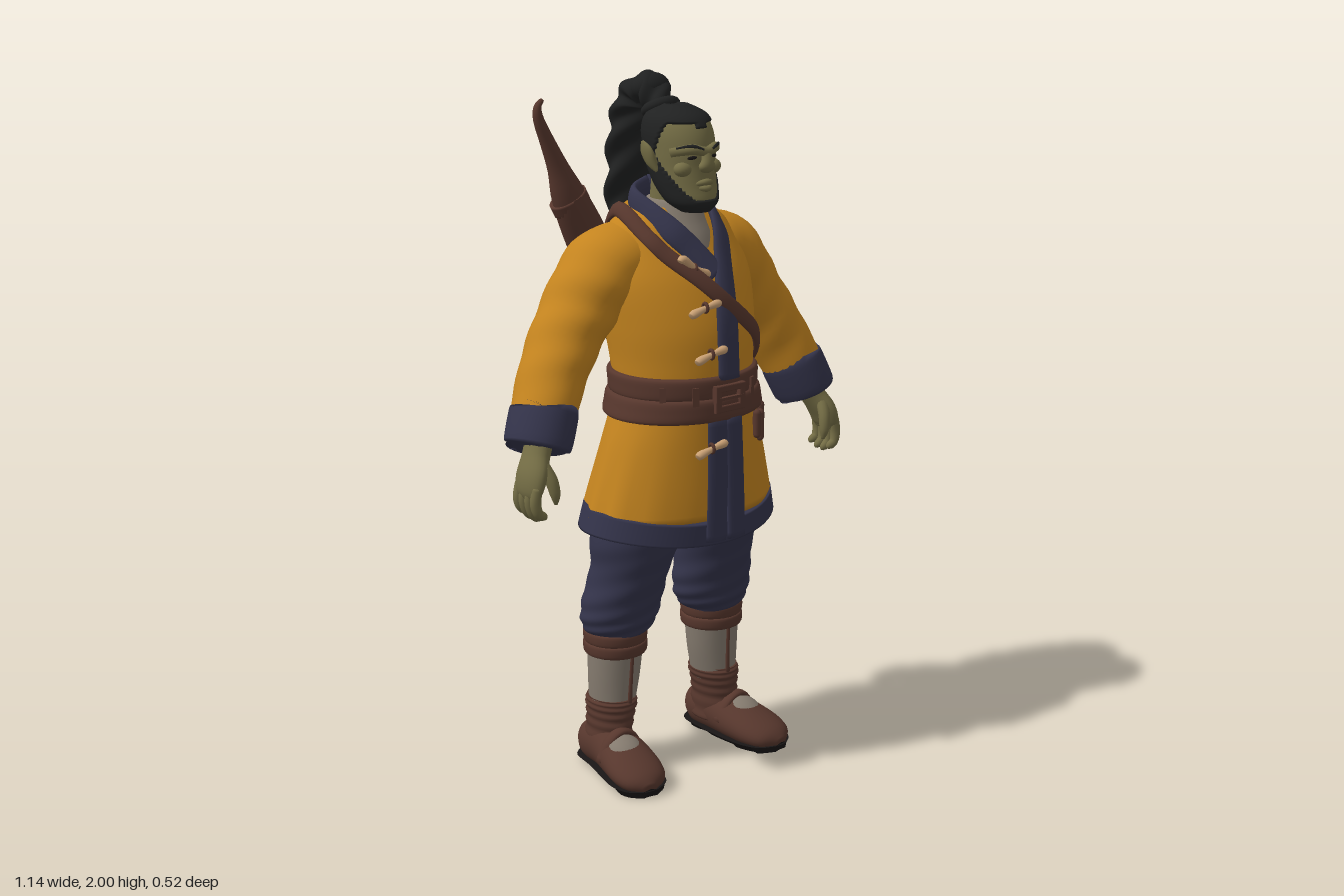
import * as THREE from 'three';

const V = (x, y, z) => new THREE.Vector3(x, y, z);
const X = V(1, 0, 0), Z = V(0, 0, 1);
const mat = (name, color) => Object.assign(new THREE.MeshStandardMaterial({ color }), { name });

// Catmull-Rom smoothing of rows of numbers
function smooth(rows, sub) {
  const out = [], g = i => rows[Math.min(rows.length - 1, Math.max(0, i))];
  for (let i = 0; i < rows.length - 1; i++) for (let k = 0; k < sub; k++) {
    const t = k / sub;
    out.push(rows[i].map((p, c) => {
      const a = g(i - 1)[c], d = g(i + 2)[c], q = g(i + 1)[c];
      return p + 0.5 * t * (q - a + t * (2 * a - 5 * p + 4 * q - d + t * (3 * (p - q) + d - a)));
    }));
  }
  out.push(rows[rows.length - 1]);
  return out;
}

// Skin over rows [x, y, z, a, b]; a runs along ref, b across it. Flat rows lie level, bottom to top.
function loft(name, material, rows, { flat = false, ref = X, n = 24, sub = 4, fn } = {}) {
  const r = smooth(rows, sub), m = r.length, pos = [], idx = [];
  const P = i => V(...r[Math.min(m - 1, Math.max(0, i))]);
  for (let i = 0; i < m; i++) {
    const c = P(i), T = flat ? V(0, 1, 0) : P(i + 1).sub(P(i - 1)).normalize();
    const R = typeof ref === 'function' ? ref(c) : ref;
    const B = R.clone().cross(T).normalize(), A = T.clone().cross(B);
    for (let j = 0; j < n; j++) {
      const t = j / n * Math.PI * 2;
      const p = c.clone().addScaledVector(A, Math.max(0.001, r[i][3]) * Math.cos(t))
        .addScaledVector(B, Math.max(0.001, r[i][4]) * Math.sin(t));
      if (fn) fn(p, t, i / (m - 1), c);
      pos.push(p.x, p.y, p.z);
      if (i < m - 1) {
        const a = i * n + j, b = i * n + (j + 1) % n;
        idx.push(a, a + n, b, b, a + n, b + n);
      }
    }
  }
  pos.push(...P(0).toArray(), ...P(m - 1).toArray());
  for (let j = 0; j < n; j++) {
    const k = (j + 1) % n, e = (m - 1) * n;
    idx.push(m * n, j, k, m * n + 1, e + k, e + j);
  }
  const geo = new THREE.BufferGeometry();
  geo.setAttribute('position', new THREE.Float32BufferAttribute(pos, 3));
  geo.setIndex(idx);
  geo.computeVertexNormals();
  const mesh = new THREE.Mesh(geo, material);
  mesh.name = name;
  return mesh;
}

// Coat body: level rows [x, y, z, half width, half depth]
const BODY = smooth([
  [0, .75, .022, .31, .213], [0, .85, .03, .285, .205], [0, 1, .042, .245, .188], [0, 1.13, .047, .207, .18],
  [0, 1.22, .042, .21, .187], [0, 1.33, .03, .225, .19], [0, 1.45, .01, .235, .168], [0, 1.54, -.012, .215, .137],
  [0, 1.6, -.025, .18, .115], [0, 1.645, -.035, .12, .095]], 6);
function at(y) {
  let i = 0;
  while (i < BODY.length - 2 && BODY[i + 1][1] < y) i++;
  const p = BODY[i], q = BODY[i + 1], t = THREE.MathUtils.clamp((y - p[1]) / (q[1] - p[1]), 0, 1);
  return p.map((v, k) => v + (q[k] - v) * t);
}
// Point on the coat's front (s = 1) or back (s = -1)
function S(x, y, s = 1, off = .008) {
  const r = at(y);
  return [x, y, r[2] + s * (r[4] * Math.sqrt(Math.max(0, 1 - (x / r[3]) ** 2)) + off)];
}
const outward = up => c => {
  const r = at(c.y);
  return V(c.x / r[3] ** 2, up * Math.max(0, c.y - 1.5), (c.z - r[2]) / r[4] ** 2).normalize();
};

export function createModel() {
  const root = new THREE.Group();
  root.name = 'warrior';
  const orange = mat('ochre cloth', 0xc4841f), navy = mat('navy cloth', 0x34344b), skin = mat('olive skin', 0x746d45),
    leather = mat('brown leather', 0x57372d), hair = mat('black hair', 0x202121), wrap = mat('grey linen', 0x857b6f),
    bone = mat('bone', 0xc9a074), sole = mat('dark sole', 0x191616);
  const add = (...a) => { const m = loft(...a); root.add(m); return m; };
  const prim = (name, geo, m, p, rot = [0, 0, 0], sc = [1, 1, 1]) => {
    const o = new THREE.Mesh(geo, m);
    o.name = name; o.position.set(...p); o.rotation.set(...rot); o.scale.set(...sc);
    root.add(o);
  };
  const ball = new THREE.SphereGeometry(1, 20, 14);

  // Coat with gentle skirt folds and a hem dipping at the front
  add('coat', orange, BODY.filter(r => r[1] >= .78), { flat: true, n: 56, sub: 1, fn: (p, t, s, c) => {
    const k = Math.max(0, 1.05 - p.y) * .08 * Math.sin(14 * t) * (1 - Math.max(0, Math.sin(t)));
    p.x += (p.x - c.x) * k; p.z += (p.z - c.z) * k;
  } });
  add('hem', navy, [.75, .78, .815].map(y => { const r = at(y); return [0, y, r[2], r[3] + .006, r[4] + .006]; }),
    { flat: true, n: 56, fn: (p, t) => { p.y -= .032 * Math.max(0, Math.sin(t)) ** 2; } });

  // Undershirt, neck, collar and front bands
  add('undershirt', wrap, [[0, 1.5, .01, .09, .13], [0, 1.56, 0, .11, .122], [0, 1.61, -.002, .095, .098], [0, 1.665, 0, .07, .07]], { flat: true });
  add('neck', skin, [[0, 1.6, 0, .066, .07], [0, 1.76, .02, .066, .068]], { flat: true });
  const band = (name, m, pts, a, b, up = 0) => add(name, m, pts.map(p => [...p, a, b]), { ref: outward(up), sub: 6, n: 16 });
  band('rightLapel', navy, [S(.01, 1.47), S(-.04, 1.54), S(-.08, 1.59), [-.107, 1.635, .02], [-.098, 1.665, -.05], [0, 1.675, -.112]], .014, .034);
  band('leftLapel', navy, [[0, 1.675, -.112], [.098, 1.665, -.05], [.107, 1.635, .02], S(.085, 1.58, 1, .012), S(.055, 1.51, 1, .012),
    S(.025, 1.43, 1, .012), S(.01, 1.34), S(.008, 1.19)], .014, .037);
  band('rightSkirtBand', navy, [S(-.03, 1.08), S(-.034, .9), S(-.04, .73)], .01, .034);
  band('leftSkirtBand', navy, [S(.024, 1.08), S(.028, .9), S(.034, .73)], .013, .033);

  // Bone toggles
  for (const [y, tilt] of [[1.495, -.03], [1.395, .012], [1.27, .012], [1.005, .012]]) {
    const p = S(-.06, y, 1, .022), z = p[2];
    add('toggle', bone, [[-.112, y - tilt - .006, z, .009, .009], [-.1, y - tilt, z, .013, .012], [-.06, y, z + .004, .007, .008],
      [-.022, y + tilt * .6, z + .003, .012, .012], [-.01, y + tilt * .6, z, .006, .006]], { ref: Z, n: 12 });
    prim('toggleCord', new THREE.TorusGeometry(.012, .005, 8, 14), leather, [-.062, y, z], [0, 1.4, 0]);
  }

  // Doubled belt and buckle
  const ring = (name, y0, y1, o) => add(name, leather, [[y0, 0], [y0 + .006, o], [(y0 + y1) / 2, o + .003], [y1 - .006, o], [y1, 0]]
    .map(([y, k]) => { const r = at(y); return [0, y, r[2], r[3] + k, r[4] + k]; }), { flat: true, n: 48 });
  ring('upperBelt', 1.135, 1.2, .013);
  ring('lowerBelt', 1.072, 1.142, .019);
  const frame = new THREE.Shape([[-.05, -.035], [.05, -.035], [.05, .035], [-.05, .035]].map(p => new THREE.Vector2(...p)));
  frame.holes.push(new THREE.Path([[-.036, -.022], [-.036, .022], [.036, .022], [.036, -.022]].map(p => new THREE.Vector2(...p))));
  prim('buckle', new THREE.ExtrudeGeometry(frame, { depth: .014, bevelSize: .003, bevelThickness: .003, bevelSegments: 2 }), leather, [0, 1.14, .238]);
  prim('bucklePin', new THREE.BoxGeometry(.09, .008, .012), leather, [0, 1.14, .25]);
  for (const x of [-.17, -.1, .1]) prim('beltLoop', new THREE.BoxGeometry(.018, .085, .014), leather, S(x, 1.135, 1, .016), [0, x * 4, 0]);

  // Items hanging from the belt on the left side
  for (const [x, y, l] of [[.14, 1.03, .06], [.165, 1.02, .07], [.2, 1.04, .05]])
    prim('beltTool', new THREE.CapsuleGeometry(.012, l, 4, 10), leather, S(x, y, 1, .012));
  prim('pouch', ball, leather, [.235, 1.06, -.055], [0, 0, .1], [.026, .055, .04]);
  prim('pouch', ball, leather, [.19, 1.06, -.12], [0, .6, 0], [.04, .045, .025]);
  prim('strapRing', new THREE.TorusGeometry(.03, .009, 8, 20), leather, [.242, 1.11, .02], [0, 1.4, 0]);
  prim('strapRing', new THREE.TorusGeometry(.03, .009, 8, 20), leather, [.165, 1.12, -.15], [0, -.5, 0]);

  // Shoulder strap
  band('strap', leather, [S(-.05, 1.42, -1), S(-.12, 1.54, -1), [-.155, 1.64, -.05], S(-.15, 1.58, 1, .016), S(-.12, 1.53, 1, .018),
    S(-.06, 1.47, 1, .022), S(0, 1.41, 1, .024), S(.07, 1.35, 1, .018), S(.13, 1.3, 1, .014), S(.185, 1.24, 1, .012), [.225, 1.18, .06],
    [.222, 1.13, -.02], S(.15, 1.1, -1, .014), S(.08, 1.12, -1, .018)], .011, .022, 40);

  // Horn-tipped case slung across the back
  const CASE = [[.128, .975, -.2, .02, .03], [.12, .995, -.2, .042, .066], [.06, 1.12, -.2, .046, .075], [-.05, 1.35, -.2, .046, .072],
    [-.15, 1.54, -.197, .045, .066], [-.213, 1.66, -.192, .04, .052], [-.25, 1.745, -.19, .026, .032], [-.285, 1.82, -.19, .018, .022],
    [-.312, 1.88, -.19, .014, .016], [-.316, 1.915, -.19, .011, .011], [-.3, 1.935, -.19, .006, .006]];
  add('backCase', leather, CASE, { ref: Z });
  for (const [x, y, a, b] of [[.108, 1.02, .05, .076], [.03, 1.18, .051, .08], [-.12, 1.48, .05, .074], [-.205, 1.645, .046, .059]])
    add('caseBand', leather, [[x + .008, y - .015, -.198, a, b], [x - .008, y + .015, -.198, a, b]], { ref: Z });
  for (const [x, y] of [[.08, 1.03], [.13, 1.05], [-.07, 1.42]]) prim('caseStud', ball, leather, [x, y, -.245], [0, 0, 0], [.012, .012, .008]);

  // Head and face
  const HEAD = [[0, 1.645, .1, .04, .04], [0, 1.67, .085, .07, .068], [0, 1.71, .06, .083, .085], [0, 1.76, .04, .088, .1],
    [0, 1.8, .034, .09, .107], [0, 1.85, .025, .09, .106], [0, 1.89, .02, .075, .086], [0, 1.915, .02, .03, .035]];
  add('head', skin, HEAD, { flat: true, n: 40 });
  add('brow', skin, [[-.075, 1.8, .085, .01, .014], [-.04, 1.812, .132, .014, .014], [0, 1.804, .143, .013, .013],
    [.04, 1.812, .132, .014, .014], [.075, 1.8, .085, .01, .014]], { ref: Z });
  add('nose', skin, [[0, 1.815, .138, .012, .01], [0, 1.785, .148, .016, .014], [0, 1.765, .148, .026, .017], [0, 1.752, .142, .018, .01]]);
  add('upperLip', skin, [[-.035, 1.715, .126, .006, .006], [0, 1.722, .146, .01, .009], [.035, 1.715, .126, .006, .006]], { ref: Z });
  add('lowerLip', skin, [[-.03, 1.706, .126, .006, .006], [0, 1.704, .145, .011, .009], [.03, 1.706, .126, .006, .006]], { ref: Z });
  for (const s of [-1, 1]) {
    prim('eye', ball, sole, [s * .038, 1.789, .131], [0, s * .4, s * -.1], [.014, .005, .004]);
    prim('cheek', ball, skin, [s * .05, 1.757, .107], [0, 0, 0], [.028, .022, .025]);
    add('eyebrow', hair, [[s * .015, 1.811, .152, .004, .004], [s * .045, 1.822, .141, .004, .005], [s * .072, 1.814, .105, .003, .003]], { ref: Z, n: 10 });
    add('ear', skin, [[s * .085, 1.75, .045, .01, .008], [s * .098, 1.775, .03, .012, .02], [s * .108, 1.805, .02, .009, .022], [s * .112, 1.828, .008, .003, .005]]);
  }

  // Hair and beard shell: sinks inside the head below the hairline and above the beard line
  add('hairAndBeard', hair, HEAD, { flat: true, n: 72, sub: 10, fn: (p, t, k, c) => {
    const s = Math.sin(t), u = THREE.MathUtils.clamp((s - .05) / .4, 0, 1);
    const line = s < .05 ? 1.7 : 1.8 + .072 * u - (s > .97 ? .012 : 0);
    const beard = s < .05 ? 1.7 : 1.79 - .112 * Math.min(1, (s - .05) / .85);
    const f = p.y > line || p.y < beard ? 1.05 : .88;
    p.x = c.x + (p.x - c.x) * f; p.z = c.z + (p.z - c.z) * f;
    if (f > 1) p.y += (p.y - 1.78) * .05;
  } });

  // Twisted ponytail with its tie
  add('ponytail', hair, [[0, 1.88, -.035, .035, .035], [0, 1.92, -.06, .045, .036], [0, 1.95, -.1, .058, .046], [0, 1.925, -.145, .07, .048],
    [0, 1.85, -.168, .078, .05], [0, 1.74, -.18, .08, .047], [0, 1.62, -.195, .072, .042], [0, 1.51, -.205, .052, .034], [0, 1.42, -.205, .012, .012]],
    { sub: 10, n: 36, fn: (p, t, s, c) => p.lerp(c, .12 * Math.sin(3 * t + s * 48)) });
  prim('hairTie', new THREE.TorusGeometry(.04, .016, 10, 24), hair, [0, 1.905, -.05], [1.1, 0, 0]);
  prim('topknot', ball, hair, [0, 1.955, -.095], [0, 0, 0], [.062, .042, .045]);

  for (const s of [-1, 1]) {
    const side = s > 0 ? 'left' : 'right', mx = rows => rows.map(([x, ...q]) => [x * s, ...q]);
    const part = (name, m, rows, o) => add(side + name, m, mx(rows), o);
    // Sleeve and cuff
    part('Sleeve', orange, [[.11, 1.52, -.035, .11, .09], [.21, 1.478, -.04, .122, .112], [.31, 1.36, -.042, .109, .1],
      [.4, 1.225, -.022, .1, .092], [.465, 1.1, .01, .094, .086]], { ref: Z, sub: 8, n: 32,
      fn: (p, t, k, c) => p.lerp(c, .025 * Math.sin(k * 34 + 2 * t) * Math.sin(Math.PI * k)) });
    part('Cuff', navy, [[.452, 1.13, .004, .094, .086], [.455, 1.122, .006, .1, .091], [.488, 1.045, .022, .1, .088], [.489, 1.042, .022, .085, .075]], { ref: Z });
    // Hand with four fingers and a thumb
    part('Hand', skin, [[.48, 1.07, .025, .042, .038], [.508, 1.02, .04, .044, .034], [.533, .975, .055, .055, .032], [.545, .935, .058, .052, .024], [.545, .915, .058, .04, .014]], { ref: Z });
    for (let i = 0; i < 4; i++) {
      const z = .018 + i * .026, e = .845 + Math.abs(i - 1.6) * .01;
      part('Finger', skin, [[.545, .95, z, .014, .015], [.552, .91, z, .014, .016], [.545, (e + .9) / 2, z + .002, .013, .014],
        [.527, e + .008, z + .002, .011, .012], [.523, e, z + .002, .004, .004]], { ref: Z, n: 12 });
    }
    part('Thumb', skin, [[.515, 1.005, .075, .018, .02], [.502, .965, .1, .017, .018], [.495, .925, .108, .014, .014], [.492, .898, .106, .005, .005]], { ref: Z, n: 12 });
    // Baggy trousers
    part('Trouser', navy, [[.178, .415, -.038, .085, .085], [.174, .455, -.032, .114, .1], [.168, .52, -.022, .121, .106],
      [.156, .62, 0, .112, .117], [.143, .72, .012, .13, .135], [.125, .84, .02, .13, .14]], { flat: true, sub: 8, n: 36,
      fn: (p, t, k, c) => { const f = 1 + .03 * Math.sin(k * 40 + 3 * t) * (1 - k); p.x = c.x + (p.x - c.x) * f; p.z = c.z + (p.z - c.z) * f; } });
    // Leg wraps and boot
    part('LegWrap', wrap, [[.195, .18, -.042, .062, .07], [.187, .28, -.04, .076, .074], [.182, .38, -.038, .082, .08]], { flat: true });
    for (const y of [.355, .39]) part('KneeBand', leather, [[.182, y, -.038, .08, .08], [.182, y + .006, -.038, .091, .091],
      [.182, y + .034, -.038, .093, .093], [.182, y + .04, -.038, .082, .082]], { flat: true });
    part('Ankle', leather, [[.205, .05, -.045, .064, .088], [.202, .12, -.045, .06, .08], [.198, .17, -.043, .064, .08], [.195, .205, -.042, .07, .082], [.195, .222, -.042, .064, .076]],
      { flat: true, sub: 8, fn: (p, t, k, c) => { p.x += (p.x - c.x) * .03 * Math.sin(k * 40); p.z += (p.z - c.z) * .03 * Math.sin(k * 40); } });
    part('LaceSeam', leather, [[.187, .21, .034, .008, .005], [.184, .29, .037, .006, .005], [.182, .37, .042, .006, .005]], { n: 8 });
    const SHOE = [[.205, .05, -.142, .025, .03], [.205, .06, -.115, .055, .06], [.21, .07, -.03, .066, .07], [.222, .058, .06, .078, .06],
      [.236, .045, .13, .08, .048], [.246, .034, .18, .062, .034], [.25, .025, .207, .02, .015]];
    part('Shoe', leather, SHOE, { n: 32, fn: p => { p.y = Math.max(.012, p.y); } });
    part('Sole', sole, SHOE.map(r => [r[0], r[1], r[2], r[3] + .004, r[4]]), { n: 32, fn: p => { p.y = THREE.MathUtils.clamp((p.y - .02) * 9, 0, .02); } });
    prim(side + 'Instep', ball, wrap, [s * .226, .088, .062], [.35, s * .15, 0], [.054, .036, .062]);
    part('ShoeStrap', leather, [[.15, .06, .03, .012, .018], [.18, .115, .035, .01, .018], [.222, .136, .035, .01, .018], [.262, .112, .03, .01, .018], [.288, .055, .025, .012, .018]], { ref: c => V(c.x - s * .22, c.y - .05, 0).normalize(), n: 14 });
  }
  return root;
}
